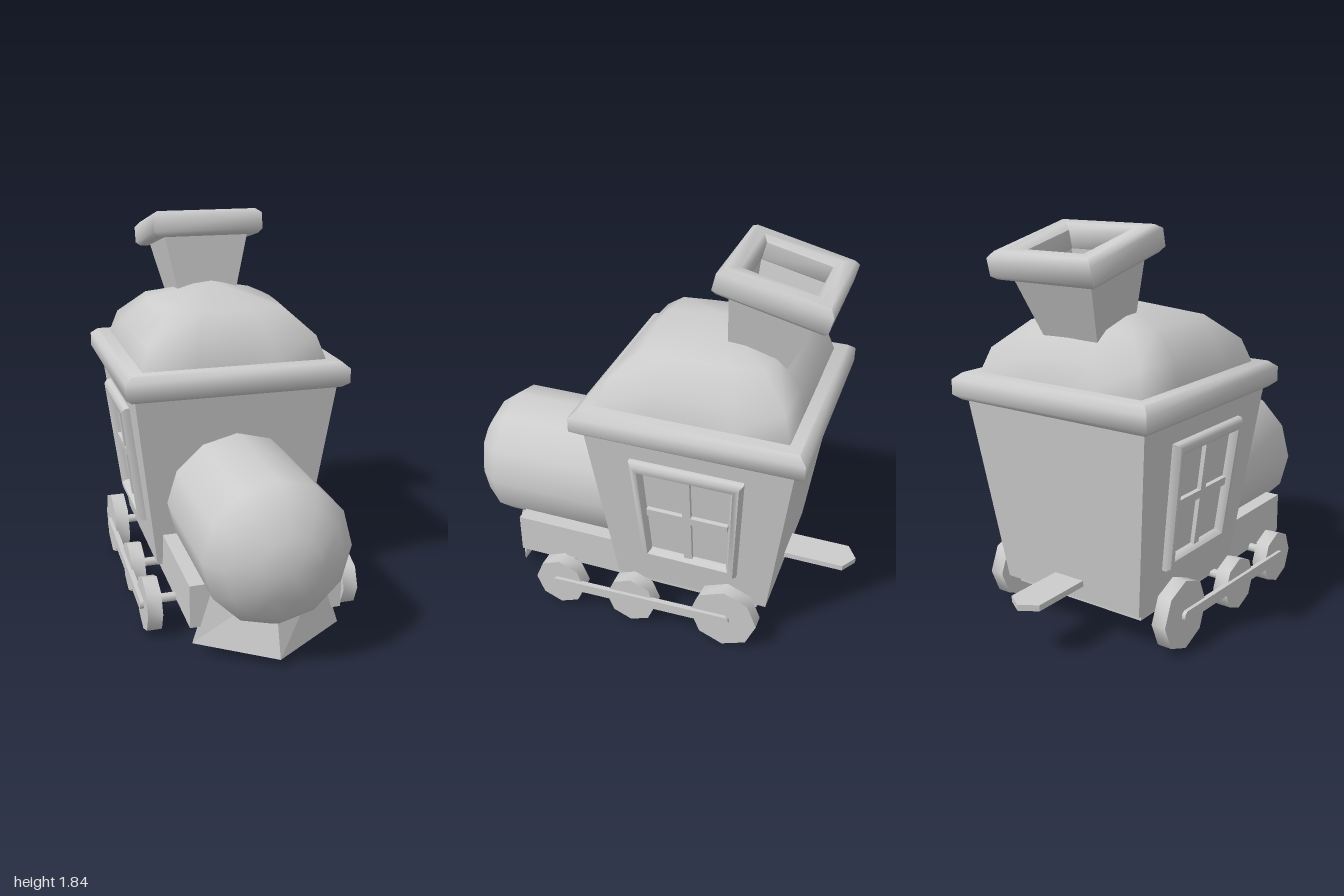
import * as THREE from 'three';
import { toCreasedNormals } from 'three/addons/utils/BufferGeometryUtils.js';

const grey = new THREE.MeshStandardMaterial({ color: 0xcccccc });
const CABIN_Z = -0.27;

function add(parent, name, geometry, x = 0, y = 0, z = 0) {
  const mesh = new THREE.Mesh(geometry, grey);
  mesh.name = name;
  mesh.position.set(x, y, z);
  parent.add(mesh);
  return mesh;
}

// Skin over rings of [x, y, z] points; closed joins the last ring to the first, otherwise ends are capped
function loft(rings, { closed = false, crease = 0.9 } = {}) {
  const n = rings[0].length, m = rings.length, index = [];
  for (let i = 0; i < (closed ? m : m - 1); i++) {
    for (let j = 0; j < n; j++) {
      const k = (j + 1) % n, up = (i + 1) % m;
      const a = i * n + j, b = i * n + k, c = up * n + k, d = up * n + j;
      index.push(a, b, c, a, c, d);
    }
  }
  if (!closed) {
    const top = (m - 1) * n;
    for (let j = 1; j < n - 1; j++) index.push(0, j + 1, j, top, top + j, top + j + 1);
  }
  const g = new THREE.BufferGeometry();
  g.setAttribute('position', new THREE.Float32BufferAttribute(rings.flat(2), 3));
  g.setIndex(index);
  return toCreasedNormals(g, crease);
}

// Horizontal rectangle with half sizes hx, hz at height y
const rect = ([hx, hz, y]) => [[hx, y, hz], [hx, y, -hz], [-hx, y, -hz], [-hx, y, hz]];

// Ring that blends from a square (round = 0) to a circle (round = 1)
function softSquare([h, y, round]) {
  return Array.from({ length: 16 }, (_, i) => {
    const a = Math.PI / 4 - (i * Math.PI) / 8;
    const c = Math.cos(a), s = Math.sin(a);
    const r = h * THREE.MathUtils.lerp(1 / Math.max(Math.abs(c), Math.abs(s)), 1, round);
    return [r * c, y, r * s];
  });
}

function makeWindow() {
  const win = new THREE.Group();
  // tapered frame, t runs from the outer edge (0) to the inner edge (1)
  const ring = ([t, x]) => {
    const mix = (a, b) => THREE.MathUtils.lerp(a, b, t);
    const zb = mix(0.235, 0.188), zt = mix(0.268, 0.21), yb = mix(0.18, 0.237), yt = mix(0.786, 0.726);
    return [[x, yb, zb], [x, yb, -zb], [x, yt, -zt], [x, yt, zt]];
  };
  const profile = [[0, -0.01], [0, 0.02], [0.25, 0.038], [0.75, 0.038], [1, 0.02], [1, -0.01]];
  add(win, 'windowFrame', loft(profile.map(ring), { closed: true }));
  add(win, 'windowUprightBar', new THREE.BoxGeometry(0.03, 0.5, 0.04), 0.005, 0.48, 0);
  add(win, 'windowCrossBar', new THREE.BoxGeometry(0.03, 0.04, 0.39), 0.005, 0.488, 0);
  return win;
}

// Flat bar with rounded ends, lying along the shape's x
function rodGeometry(length, r, depth) {
  const s = new THREE.Shape();
  s.absarc(length / 2 - r, 0, r, -Math.PI / 2, Math.PI / 2);
  s.absarc(-length / 2 + r, 0, r, Math.PI / 2, Math.PI * 1.5);
  return new THREE.ExtrudeGeometry(s, { depth, bevelEnabled: false, curveSegments: 6 })
    .translate(0, 0, -depth / 2).rotateY(Math.PI / 2);
}

export function createModel() {
  const train = new THREE.Group();
  train.name = 'toyLocomotive';

  // Cabin, widening upwards, with eave and domed roof
  add(train, 'cabin', loft([[0.38, 0.378, 0.18], [0.49, 0.486, 1.07]].map(rect)), 0, 0, CABIN_Z);
  const eave = [[0.505, 1.055], [0.535, 1.08], [0.535, 1.15], [0.5, 1.18]];
  add(train, 'roofEave', loft(eave.map(([h, y]) => rect([h, h, y]))), 0, 0, CABIN_Z);
  const dome = [[0.447, 1.17, 0], [0.425, 1.29, 0.15], [0.305, 1.41, 0.3], [0.002, 1.5, 1]];
  add(train, 'roofDome', loft(dome.map(softSquare), { crease: 1.7 }), 0, 0, CABIN_Z);

  // Hollow chimney leaning back, with a heavy rim
  const chimney = new THREE.Group();
  chimney.name = 'chimney';
  chimney.position.set(0, 1.725, -0.557);
  chimney.rotation.x = -0.23;
  train.add(chimney);
  const flue = [[0.13, 0.125, -0.42], [0.215, 0.195, -0.04], [0.17, 0.16, -0.04], [0.1, 0.095, -0.42]];
  add(chimney, 'chimneyFlue', loft(flue.map(rect), { closed: true }));
  const rim = [[0.255, 0.235, -0.06], [0.275, 0.255, -0.04], [0.275, 0.255, 0.04], [0.25, 0.23, 0.063],
    [0.19, 0.18, 0.063], [0.16, 0.155, 0.04], [0.16, 0.155, -0.04], [0.18, 0.17, -0.06]];
  add(chimney, 'chimneyRim', loft(rim.map(rect), { closed: true }));

  // Boiler with rounded nose
  const boiler = [[0, 0], [0.335, 0], [0.335, 0.81], [0.265, 0.9], [0.145, 0.97], [0, 1]];
  const lathe = new THREE.LatheGeometry(boiler.map(([r, z]) => new THREE.Vector2(r, z)), 12);
  add(train, 'boiler', toCreasedNormals(lathe, 0.9), 0, 0.52, 0).rotation.x = Math.PI / 2;

  // Chassis and pointed track guard
  add(train, 'chassis', new THREE.BoxGeometry(0.71, 0.205, 1.265), 0, 0.2425, 0.0325);
  add(train, 'trackGuard', loft([
    [[0.345, 0.06, 0.66], [-0.345, 0.06, 0.66], [0, 0.04, 0.865]],
    [[0.255, 0.345, 0.66], [-0.255, 0.345, 0.66], [0, 0.345, 0.775]],
  ], { crease: 0.1 }));

  // Rear coupling tongue
  const tongue = new THREE.Shape([[-0.08, 0.6], [0.08, 0.6], [0.08, 0.95], [0, 1], [-0.08, 0.95]]
    .map(([x, z]) => new THREE.Vector2(x, z)));
  add(train, 'coupling', new THREE.ExtrudeGeometry(tongue, { depth: 0.028, bevelEnabled: false })
    .rotateX(-Math.PI / 2), 0, 0.252, 0);

  // Axles and eight-sided wheels
  for (const [z, r, y] of [[0.375, 0.13, 0.13], [-0.005, 0.127, 0.13], [-0.475, 0.163, 0.163]]) {
    add(train, 'axle', new THREE.CylinderGeometry(0.022, 0.022, 1.02, 8).rotateZ(Math.PI / 2), 0, y + 0.015, z);
    for (const side of [-1, 1]) {
      const wheel = new THREE.CylinderGeometry(r, r, 0.07, 8).rotateZ(Math.PI / 2);
      add(train, 'wheel', toCreasedNormals(wheel, 0.9), side * 0.475, y, z);
    }
  }

  for (const side of [-1, 1]) {
    // Connecting rod, slightly higher at the rear wheel
    add(train, 'connectingRod', rodGeometry(0.915, 0.025, 0.025), side * 0.515, 0.15, -0.05).rotation.x = 0.033;

    // Window leaning with the cabin wall
    const mount = new THREE.Group();
    mount.name = side > 0 ? 'leftWindow' : 'rightWindow';
    mount.position.z = CABIN_Z;
    mount.rotation.y = side > 0 ? 0 : Math.PI;
    const win = makeWindow();
    win.position.set(0.38, 0.18, 0);
    win.rotation.z = -0.124;
    mount.add(win);
    train.add(mount);
  }
  return train;
}
